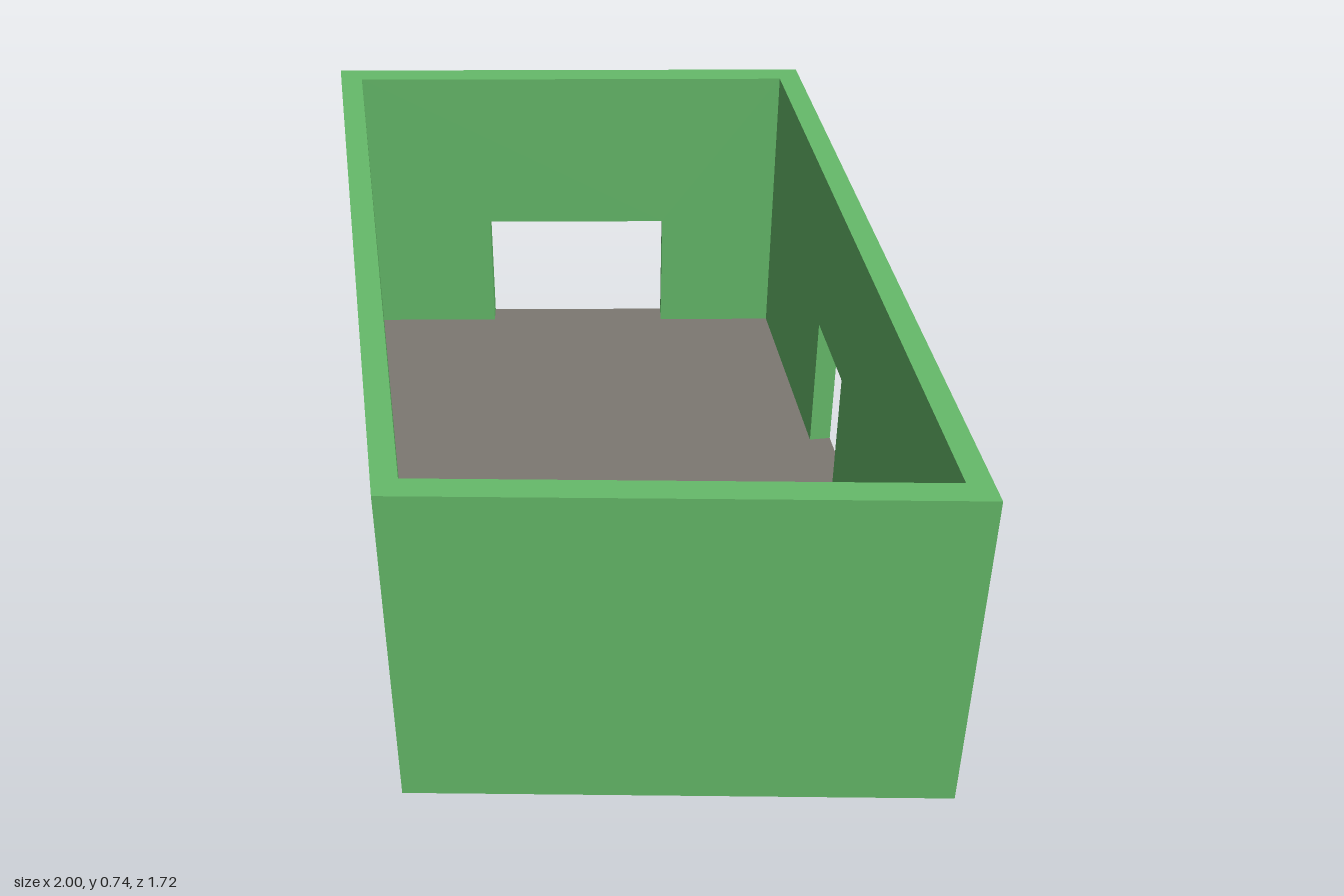
import * as THREE from 'three';

const HEIGHT = 0.735, THICK = 0.047, BASE = 0.016, FLOOR = 0.06;

// Outer corners on the ground as (x, z); walls run from each corner to the next
const corners = [[-0.2, -0.86], [-1, -0.155], [0.2, 0.857], [1, 0.178]]
  .map(([x, z]) => new THREE.Vector2(x, z));

// Openings per wall: from/to are fractions of the wall length
const openings = [
  { name: 'window', from: 0.29, to: 0.685, bottom: BASE, top: 0.35 },
  null,
  null,
  { name: 'door', from: 0.524, to: 0.657, bottom: FLOOR - 0.008, top: 0.385 },
];

function polygon(points) {
  return new THREE.Shape(points.map(([x, y]) => new THREE.Vector2(x, y)));
}

function rectangle(x0, y0, x1, y1) {
  return polygon([[x0, y0], [x1, y0], [x1, y1], [x0, y1]]);
}

function extrude(shape, depth) {
  return new THREE.ExtrudeGeometry(shape, { depth, bevelEnabled: false });
}

// Distance the inner edge is pulled back along the wall at a corner
function mitre(i) {
  const p = corners[i % 4];
  const a = corners[(i + 3) % 4].clone().sub(p).normalize();
  const b = corners[(i + 1) % 4].clone().sub(p).normalize();
  return THICK / Math.tan(Math.acos(a.dot(b)) / 2);
}

export function createModel() {
  const model = new THREE.Group();
  model.name = 'walledRoom';
  const green = new THREE.MeshStandardMaterial({ color: 0x66bb6a });
  green.name = 'wall green';
  const grey = new THREE.MeshStandardMaterial({ color: 0x7d7872 });
  grey.name = 'floor grey';

  function add(parent, name, geometry, material) {
    const mesh = new THREE.Mesh(geometry, material);
    mesh.name = name;
    parent.add(mesh);
    return mesh;
  }

  const inner = [];
  const wallNames = ['windowWall', 'leftLongWall', 'plainEndWall', 'doorWall'];
  corners.forEach((p, i) => {
    const q = corners[(i + 1) % 4];
    const along = q.clone().sub(p);
    const length = along.length();
    along.normalize();
    const start = mitre(i), end = mitre(i + 1);

    // Wall group: local x along the wall, local z pointing outwards
    const wall = new THREE.Group();
    wall.name = wallNames[i];
    wall.position.set(p.x, 0, p.y);
    wall.rotation.y = Math.atan2(-along.y, along.x);
    model.add(wall);

    const shape = rectangle(0, 0, length, HEIGHT);
    const o = openings[i];
    if (o) {
      const x0 = o.from * length, x1 = o.to * length;
      shape.holes.push(rectangle(x0, o.bottom, x1, o.top));
      // Floor-coloured sill filling the foot of the opening
      const sill = extrude(rectangle(x0, o.bottom, x1, FLOOR), THICK);
      add(wall, o.name + 'Sill', sill.translate(0, 0, -THICK), grey);
    }

    // Mitre the inner ends so neighbouring walls meet cleanly
    const geometry = extrude(shape, THICK).translate(0, 0, -THICK);
    const pos = geometry.attributes.position;
    for (let k = 0; k < pos.count; k++) {
      if (pos.getZ(k) > -THICK / 2) continue;
      if (pos.getX(k) < 0.001) pos.setX(k, start);
      else if (pos.getX(k) > length - 0.001) pos.setX(k, length - end);
    }
    geometry.computeVertexNormals();
    add(wall, wallNames[i] + 'Panel', geometry, green);

    // Matching inner corner for the floor outline
    inner.push([
      p.x + along.x * start + along.y * THICK,
      p.y + along.y * start - along.x * THICK,
    ]);
  });

  // Floor slab on a green underside
  const slab = (bottom, top) =>
    extrude(polygon(inner), top - bottom).rotateX(Math.PI / 2).translate(0, top, 0);
  add(model, 'floor', slab(BASE, FLOOR), grey);
  add(model, 'underside', slab(0, BASE), green);

  return model;
}
